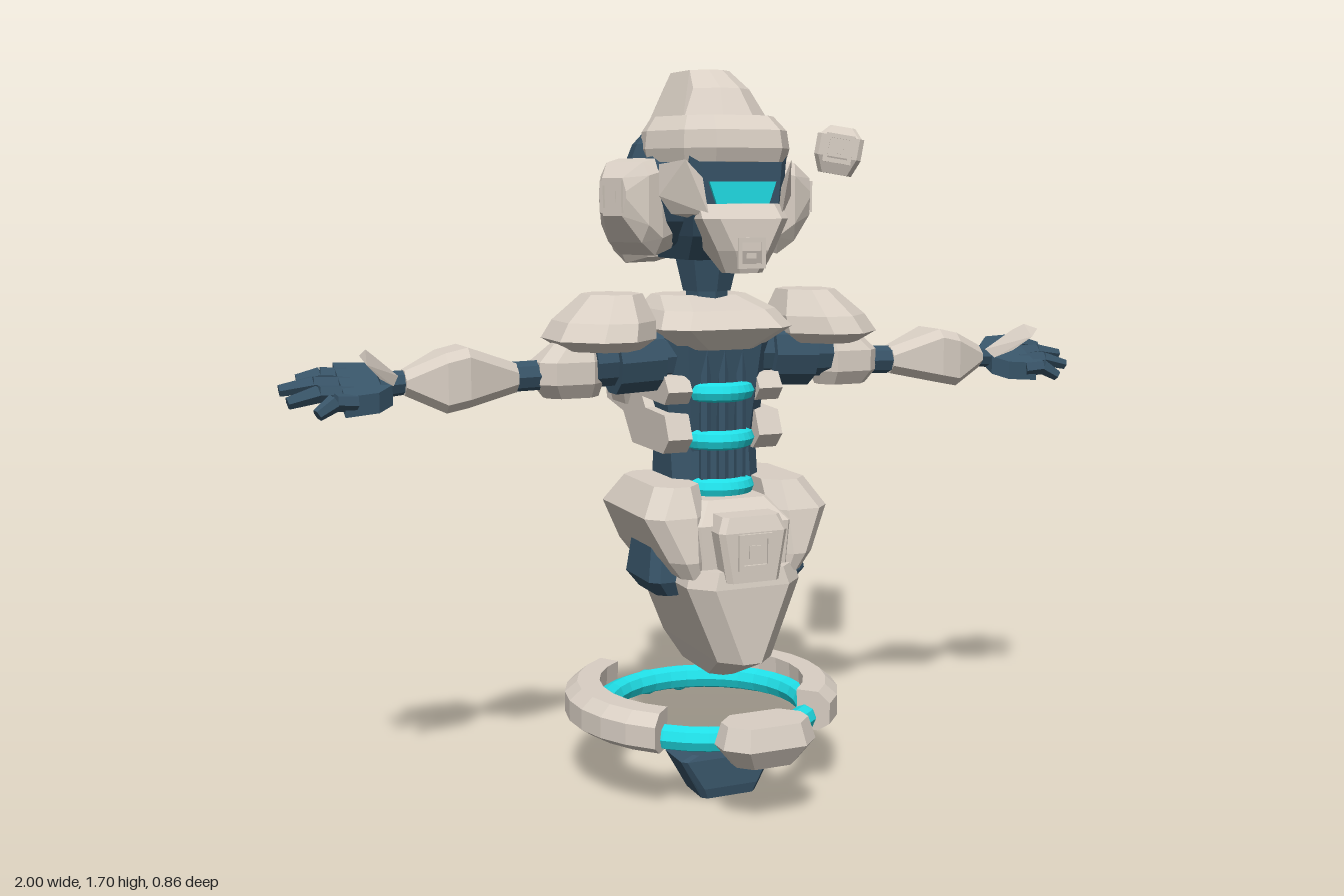
import * as THREE from 'three';
import { ConvexGeometry } from 'three/addons/geometries/ConvexGeometry.js';

const mat = (name, color) => {
  const m = new THREE.MeshStandardMaterial({ color, flatShading: true });
  m.name = name;
  return m;
};

export function createModel() {
  const model = new THREE.Group();
  const shell = mat('warm grey armour', 0xd9cfc4);
  const dark = mat('dark blue frame', 0x385468);
  const glow = mat('cyan light', 0x20e0e8);

  const add = (name, geo, m, parent = model) => {
    const mesh = new THREE.Mesh(geo, m);
    mesh.name = name;
    parent.add(mesh);
    return mesh;
  };
  // Faceted solid around a few points; s mirrors it in x
  const hull = (name, m, pts, s = 1, parent = model) =>
    add(name, new ConvexGeometry(pts.map(([x, y, z]) => new THREE.Vector3(x * s, y, z))), m, parent);
  // Solid from horizontal sections [y, xMin, xMax, zBack, zFront] with cut corners c
  const stack = (name, m, sections, c = 0.02, s = 1, parent = model) => {
    const pts = [];
    for (const [y, a, b, d, e] of sections) {
      const k = Math.min(c, (b - a) / 3, (e - d) / 3);
      for (const [x, kx] of [[a, k], [b, -k]])
        for (const [z, kz] of [[d, k], [e, -k]]) pts.push([x + kx, y, z], [x, y, z + kz]);
    }
    return hull(name, m, pts, s, parent);
  };
  // Tapered round bar between two points
  const bar = (name, m, p, q, r0, r1, sides = 6) => {
    const a = new THREE.Vector3(...p), b = new THREE.Vector3(...q), d = b.clone().sub(a);
    const mesh = add(name, new THREE.CylinderGeometry(r1, r0, d.length(), sides), m);
    mesh.position.copy(a).add(b).multiplyScalar(0.5);
    mesh.quaternion.setFromUnitVectors(new THREE.Vector3(0, 1, 0), d.normalize());
    return mesh;
  };
  // Side profile of [z, y] points extruded across x
  const profile = (name, m, pts, xMid, width) => {
    const geo = new THREE.ExtrudeGeometry(new THREE.Shape(pts.map(p => new THREE.Vector2(...p))),
      { depth: width, bevelEnabled: false });
    geo.translate(0, 0, -width / 2).rotateY(-Math.PI / 2);
    add(name, geo, m).position.x = xMid;
  };
  // Raised square trim with a small inner tile, facing +z
  const trim = (parent, x, y, z, size) => {
    const square = (C, h) => new C([[-h, -h], [h, -h], [h, h], [-h, h]].map(p => new THREE.Vector2(...p)));
    const outer = square(THREE.Shape, size);
    outer.holes.push(square(THREE.Path, size * 0.7));
    add('squareTrim', new THREE.ExtrudeGeometry(outer, { depth: 0.008, bevelEnabled: false }), shell, parent)
      .position.set(x, y, z);
    add('trimTile', new THREE.BoxGeometry(size * 0.7, size * 0.7, 0.009), shell, parent).position.set(x, y, z);
  };

  // Hovering base: keel, light ring, armour arcs, front block
  stack('keel', dark, [[0.005, -0.07, 0.07, 0.06, 0.17], [0.03, -0.08, 0.08, 0.055, 0.175],
    [0.1, -0.122, 0.122, 0.05, 0.17], [0.112, -0.09, 0.09, 0.06, 0.165]], 0.012);
  const ring = add('lightRing', new THREE.TorusGeometry(0.25, 0.03, 8, 32), glow);
  ring.rotation.x = Math.PI / 2;
  ring.position.set(0, 0.185, 0.03);
  stack('ringFrontBlock', shell, [[0.15, -0.075, 0.075, 0.31, 0.4], [0.2, -0.115, 0.115, 0.29, 0.43],
    [0.25, -0.1, 0.1, 0.3, 0.415]], 0.045);
  const arcSection = [[0.25, 0.25], [0.305, 0.25], [0.335, 0.225], [0.335, 0.175], [0.305, 0.155], [0.255, 0.155]];
  for (const s of [1, -1]) {
    for (let i = 0; i < 8; i++) {
      const pts = [];
      for (const k of [i, i + 1]) {
        const a = (-56 + 13 * k) * Math.PI / 180;
        for (const [r, y] of arcSection) pts.push([r * Math.cos(a), y, r * Math.sin(a)]);
      }
      hull('ringArmourArc', shell, pts, s);
    }
    add('ringKnob', new THREE.SphereGeometry(0.032, 10, 8), glow).position.set(0.045 * s, 0.172, -0.25);
  }

  // Pelvis
  stack('lowerBody', shell, [[0.58, -0.13, 0.13, -0.12, 0.285], [0.54, -0.142, 0.142, -0.125, 0.292],
    [0.36, -0.068, 0.068, -0.125, 0.292], [0.3, -0.04, 0.04, -0.05, 0.16]], 0.05);
  stack('pelvisCore', shell, [[0.56, -0.14, 0.14, -0.09, 0.25], [0.68, -0.15, 0.15, -0.09, 0.25],
    [0.73, -0.11, 0.11, -0.07, 0.2]], 0.04);
  for (const [a, b, c, d] of [[0.2, 0.302, 0.2, 0.29], [-0.128, -0.03, -0.12, -0.03]])
    stack('pelvisPanel', shell, [[0.555, -0.065, 0.065, a, b], [0.67, -0.085, 0.085, a, b], [0.705, -0.07, 0.07, c, d]], 0.012);
  trim(model, 0, 0.625, 0.301, 0.042);
  for (const s of [1, -1]) {
    stack('hipArmour', shell, [[0.56, 0.09, 0.15, -0.1, 0.25], [0.6, 0.09, 0.18, -0.115, 0.26],
      [0.7, 0.08, 0.23, -0.1, 0.24], [0.765, 0.08, 0.19, -0.06, 0.2]], 0.035, s);
    stack('hipSocket', dark, [[0.505, 0.1, 0.175, 0.01, 0.16], [0.54, 0.1, 0.2, -0.01, 0.175],
      [0.62, 0.12, 0.19, 0.0, 0.165]], 0.02, s);
  }

  // Waist, spine rods and glowing ribs
  stack('waist', dark, [[0.66, -0.11, 0.11, -0.09, 0.13], [0.78, -0.105, 0.105, -0.06, 0.1],
    [0.84, -0.11, 0.11, -0.07, 0.105]], 0.035);
  stack('torsoCore', dark, [[0.82, -0.11, 0.11, -0.07, 0.105], [0.95, -0.12, 0.12, -0.12, 0.115],
    [1.1, -0.135, 0.135, -0.12, 0.14]], 0.04);
  for (const x of [-0.045, 0, 0.045]) bar('spineRod', dark, [x, 0.7, 0.122], [x, 1.08, 0.122], 0.014, 0.014);
  for (const y of [0.745, 0.858, 0.97]) {
    const rib = add('glowRib', new THREE.TorusGeometry(0.07, 0.023, 8, 14, Math.PI), glow);
    rib.rotation.x = Math.PI / 2;
    rib.position.set(0, y, 0.08);
  }

  // Chest collar, backpack and side plates
  stack('chestCollar', shell, [[1.07, -0.1, 0.1, 0, 0.16], [1.12, -0.165, 0.165, -0.08, 0.2],
    [1.16, -0.14, 0.14, -0.1, 0.16], [1.19, -0.11, 0.11, -0.1, 0.06]], 0.05);
  stack('backpack', shell, [[0.9, -0.12, 0.12, -0.25, -0.05], [0.93, -0.13, 0.13, -0.29, -0.05],
    [1.055, -0.13, 0.13, -0.29, -0.05], [1.14, -0.12, 0.12, -0.19, -0.03], [1.18, -0.1, 0.1, -0.1, 0]], 0.03);
  const sidePlate = [[0, 1.17], [-0.18, 1.13], [-0.26, 1.05], [-0.26, 0.92], [-0.145, 0.9], [-0.085, 0.83],
    [0.11, 0.83], [0.145, 0.865], [0.12, 0.92], [0, 0.925], [-0.02, 0.95], [0.12, 0.945], [0.145, 0.975],
    [0.12, 1.01], [-0.02, 1.02], [0.03, 1.1]];
  const slot = (t, y0, y1) => [[-0.285, y0], [-0.29 - t, y0], [-0.29 - t, 1.056], [-0.29 - t + (y1 - 1.056) * 1.18, y1],
    [-0.275 + (y1 - 1.056) * 1.18, y1], [-0.275, 1.056]];
  for (const s of [1, -1]) {
    profile('sideRibPlate', shell, sidePlate, 0.115 * s, 0.06);
    stack('sidePod', shell, [[0.92, 0.1, 0.15, -0.22, -0.1], [1.0, 0.1, 0.175, -0.22, -0.06],
      [1.08, 0.1, 0.165, -0.18, -0.04], [1.14, 0.1, 0.14, -0.14, -0.03]], 0.025, s);
    profile('ventFrame', dark, slot(0.002, 0.925, 1.125), 0.044 * s, 0.05);
    profile('ventLight', glow, slot(0.005, 0.935, 1.118), 0.044 * s, 0.036);
    for (const y of [0.985, 1.035])
      add('ventBar', new THREE.BoxGeometry(0.048, 0.007, 0.009), dark).position.set(0.044 * s, y, -0.294);
  }

  // Arms
  const z0 = 0.05;
  for (const s of [1, -1]) {
    stack('shoulderArmour', shell, [[1.075, 0.2, 0.36, -0.05, 0.17], [1.1, 0.17, 0.4, -0.08, 0.21],
      [1.14, 0.165, 0.375, -0.07, 0.19], [1.2, 0.185, 0.31, -0.02, 0.13]], 0.09, s);
    bar('shoulderJoint', dark, [0.1 * s, 1.055, z0], [0.3 * s, 1.045, z0], 0.065, 0.06, 10);
    bar('shoulderCuff', dark, [0.14 * s, 1.05, z0], [0.25 * s, 1.045, z0], 0.08, 0.08, 10);
    stack('upperArm', shell, [[0.967, 0.285, 0.41, 0.01, 0.09], [1.0, 0.28, 0.43, -0.02, 0.11],
      [1.05, 0.28, 0.43, -0.02, 0.11], [1.09, 0.28, 0.39, 0.01, 0.09]], 0.03, s);
    bar('elbow', dark, [0.41 * s, 1.02, z0], [0.5 * s, 1.018, z0], 0.034, 0.034, 8);
    // Forearm as a chain of octagonal sections [x, yMin, yMax, zMin, zMax]
    const fore = [];
    for (const [x, a, b, d, e] of [[0.48, 0.985, 1.05, 0.015, 0.085], [0.6, 0.96, 1.093, -0.02, 0.12],
      [0.65, 0.95, 1.082, -0.018, 0.118], [0.735, 0.99, 1.045, 0.02, 0.09]])
      for (const [y, ky] of [[a, 0.02], [b, -0.02]])
        for (const [z, kz] of [[d, 0.02], [e, -0.02]]) fore.push([x, y + ky, z], [x, y, z + kz]);
    hull('forearm', shell, fore, s);
    bar('wrist', dark, [0.72 * s, 1.018, 0.055], [0.79 * s, 1.015, 0.055], 0.026, 0.03, 8);
    // Rolled hand with four fingers
    const yAt = z => 1.01 - (z - 0.055) * 0.5;
    const palm = [];
    for (const [x, d, e] of [[0.765, 0.03, 0.085], [0.8, 0.0, 0.11], [0.875, -0.005, 0.12]])
      for (const z of [d, e]) for (const h of [-0.022, 0.022]) palm.push([x, yAt(z) + h, z]);
    hull('palm', dark, palm, s);
    [[0.01, 0, 0.955], [0.042, 0.035, 0.998], [0.075, 0.08, 0.988], [0.105, 0.125, 0.935]].forEach(([za, zb, tip]) => {
      const mid = [(0.855 + tip) / 2 * s, yAt(za) + 0.004, (za + zb) / 2];
      bar('fingerBase', dark, [0.85 * s, yAt(za), za], mid, 0.021, 0.02);
      bar('fingerTip', dark, mid, [tip * s, yAt(zb) - 0.01, zb], 0.02, 0.014);
    });
    hull('thumbPlate', shell, [[0.75, 1.035, 0.075], [0.765, 1.015, 0.095], [0.79, 1.06, 0.09], [0.8, 1.035, 0.125],
      [0.83, 1.1, 0.125], [0.85, 1.09, 0.155], [0.835, 1.07, 0.155], [0.81, 1.085, 0.105]], s);
  }

  // Neck and skull
  bar('neck', dark, [0, 1.14, 0.03], [0, 1.25, 0.03], 0.05, 0.055, 8);
  bar('neckCollar', dark, [0, 1.2, 0.03], [0, 1.28, 0.03], 0.06, 0.08, 8);
  const skull = add('skull', new THREE.SphereGeometry(1, 14, 9), dark);
  skull.scale.set(0.192, 0.175, 0.195);
  skull.position.set(0, 1.45, 0.01);
  stack('visorFrame', dark, [[1.275, -0.085, 0.085, -0.08, 0.14], [1.33, -0.1, 0.1, -0.1, 0.2],
    [1.39, -0.11, 0.11, 0, 0.225], [1.51, -0.12, 0.12, 0, 0.225]], 0.02);

  // Helmet
  stack('crest', shell, [[1.535, -0.12, 0.12, -0.145, 0.225], [1.58, -0.11, 0.11, -0.14, 0.215],
    [1.66, -0.07, 0.07, -0.12, 0.16], [1.705, -0.05, 0.05, -0.1, 0.08]], 0.07);
  const brow = [];
  for (const [y, k] of [[1.495, 0.96], [1.525, 1], [1.565, 0.97], [1.598, 0.82]])
    for (const x of [1, -1])
      for (const [px, pz] of [[0.155, 0], [0.17, 0.07], [0.13, 0.2], [0.08, 0.265]]) brow.push([px * k * x, y, pz * k]);
  hull('brow', shell, brow);
  const visor = new THREE.Shape([[-0.062, 1.395], [0.062, 1.395], [0.082, 1.452], [-0.082, 1.452]]
    .map(p => new THREE.Vector2(...p)));
  add('visor', new THREE.ExtrudeGeometry(visor, { depth: 0.008, bevelEnabled: false }), glow).position.z = 0.224;
  stack('jaw', shell, [[1.403, -0.1, 0.1, 0.1, 0.245], [1.37, -0.105, 0.105, 0.1, 0.275],
    [1.3, -0.07, 0.07, 0.14, 0.278], [1.25, -0.045, 0.045, 0.19, 0.262]], 0.03);
  trim(model, 0, 1.295, 0.272, 0.034);
  for (const s of [1, -1])
    hull('cheek', shell, [[0.09, 1.38, 0.245], [0.1, 1.46, 0.235], [0.13, 1.5, 0.21], [0.165, 1.49, 0.14],
      [0.165, 1.42, 0.14], [0.14, 1.38, 0.15], [0.1, 1.37, 0.17]], s);
  // Ear and rear pods around the skull: angle from the front, pivot z, height shift
  for (const [deg, pz, dy] of [[68, -0.035, 0], [-68, -0.035, 0], [150, 0.015, -0.025], [-150, 0.015, -0.025]]) {
    const pod = new THREE.Group();
    pod.name = 'headPod';
    pod.position.set(0, dy, pz);
    pod.rotation.y = deg * Math.PI / 180;
    model.add(pod);
    const pts = [];
    for (const [z, w, a, b] of [[0.13, 0.07, 1.3, 1.48], [0.19, 0.083, 1.285, 1.505], [0.23, 0.08, 1.315, 1.495],
      [0.268, 0.045, 1.375, 1.46]])
      for (const x of [-w, w]) pts.push([x * 0.7, a, z], [x, a + 0.04, z], [x, b - 0.03, z], [x * 0.75, b, z]);
    hull('podShell', shell, pts, 1, pod);
    trim(pod, 0, 1.418, 0.266, 0.036);
  }

  // Floating blade beside the head, rolled slightly outward
  const blade = new THREE.Group();
  blade.name = 'floatingBlade';
  blade.position.set(0.46, 1.53, -0.17);
  blade.rotation.set(0.17, 61 * Math.PI / 180, 0, 'YXZ');
  model.add(blade);
  stack('bladeTop', shell, [[0.003, -0.28, 0.275, -0.055, 0.055], [0.025, -0.28, 0.275, -0.055, 0.055],
    [0.053, -0.26, 0.24, -0.03, 0.03]], 0.008, 1, blade);
  stack('bladeBackWall', shell, [[-0.045, -0.26, 0.22, -0.045, -0.02], [0.005, -0.28, 0.27, -0.055, -0.02]], 0.004, 1, blade);
  stack('bladeLight', glow, [[-0.032, -0.22, 0.2, -0.02, 0.042], [0.003, -0.22, 0.23, -0.02, 0.05]], 0.004, 1, blade);
  stack('bladeUnderside', dark, [[-0.054, -0.25, 0.2, -0.035, 0.035], [-0.03, -0.26, 0.24, -0.044, 0.048]], 0.006, 1, blade);
  stack('bladeRoot', shell, [[-0.06, -0.27, -0.21, -0.04, 0.04], [-0.02, -0.285, -0.2, -0.056, 0.056],
    [0.03, -0.285, -0.2, -0.056, 0.056]], 0.01, 1, blade);
  const cap = new THREE.Group();
  cap.name = 'bladeCap';
  cap.rotation.y = -Math.PI / 2;
  cap.position.x = -0.284;
  blade.add(cap);
  trim(cap, 0, 0, 0, 0.034);

  return model;
}
